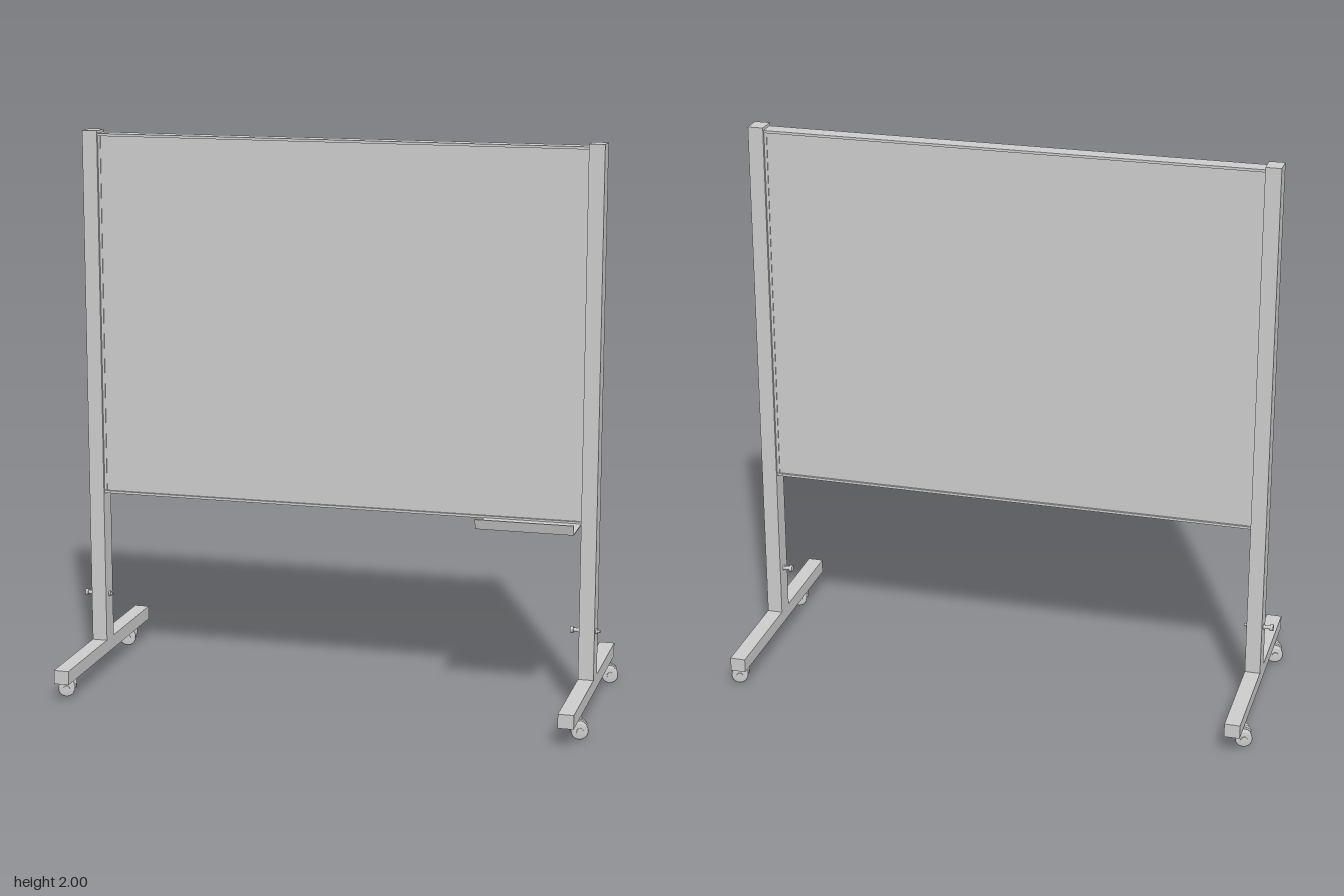
import * as THREE from 'three';

const mat = new THREE.MeshStandardMaterial({ color: 0xcccccc });
const sheetMat = new THREE.MeshStandardMaterial({ color: 0xcccccc, side: THREE.DoubleSide });

function add(parent, name, geometry, x = 0, y = 0, z = 0, material = mat) {
  const mesh = new THREE.Mesh(geometry, material);
  mesh.name = name;
  mesh.position.set(x, y, z);
  parent.add(mesh);
  return mesh;
}

// box given by its two opposite corners
function box(parent, name, [x0, y0, z0], [x1, y1, z1]) {
  return add(parent, name, new THREE.BoxGeometry(x1 - x0, y1 - y0, z1 - z0),
    (x0 + x1) / 2, (y0 + y1) / 2, (z0 + z1) / 2);
}

// twin-wheel swivel caster, axle along z, swivel stem at the origin, offset towards +x
function makeCaster() {
  const caster = new THREE.Group();
  caster.name = 'caster';
  const ax = 0.022, ay = 0.03;
  for (const s of [-1, 1]) {
    const profile = [[0, -0.014], [0.026, -0.014], [0.03, -0.01], [0.03, 0.01], [0.026, 0.014], [0, 0.014]]
      .map(([r, h]) => new THREE.Vector2(r, h));
    const wheel = add(caster, 'wheel', new THREE.LatheGeometry(profile, 20), ax, ay, s * 0.024);
    wheel.rotation.x = Math.PI / 2;
    const cap = add(caster, 'hubCap', new THREE.CylinderGeometry(0.012, 0.012, 0.004, 16), ax, ay, s * 0.039);
    cap.rotation.x = Math.PI / 2;
  }
  const axle = add(caster, 'axle', new THREE.CylinderGeometry(0.006, 0.006, 0.06, 12), ax, ay, 0);
  axle.rotation.x = Math.PI / 2;
  // curved hood over the wheels, joined to the stem
  const hood = new THREE.Shape();
  hood.absarc(ax, ay, 0.034, 0.5, Math.PI * 1.05, false);
  hood.absarc(ax, ay, 0.012, Math.PI * 1.05, 0.5, true);
  add(caster, 'hood', new THREE.ExtrudeGeometry(hood, { depth: 0.018, bevelEnabled: false, curveSegments: 12 }), 0, 0, -0.009);
  add(caster, 'stem', new THREE.CylinderGeometry(0.013, 0.013, 0.035, 16), 0, 0.0545, 0);
  add(caster, 'mountingPlate', new THREE.CylinderGeometry(0.02, 0.02, 0.005, 16), 0, 0.0685, 0);
  return caster;
}

// post, foot and clamping bolt of one side
function makeSide(x) {
  const side = new THREE.Group();
  side.name = 'sideFrame';
  side.position.x = x;
  box(side, 'post', [-0.0275, 0.12, -0.036], [0.0275, 2, 0.036]);
  box(side, 'foot', [-0.0275, 0.07, -0.426], [0.0275, 0.12, 0.426]);
  const bolt = [[0.005, -0.032, 0.042], [0.009, -0.034, -0.0275], [0.012, -0.063, -0.052], [0.010, 0.0275, 0.034]];
  for (const [r, x0, x1] of bolt) {
    const part = add(side, 'clampBolt', new THREE.CylinderGeometry(r, r, x1 - x0, 16), (x0 + x1) / 2, 0.29, 0);
    part.rotation.z = Math.PI / 2;
  }
  const neck = add(side, 'clampKnob', new THREE.CylinderGeometry(0.007, 0.007, 0.022, 16), -0.043, 0.29, 0);
  neck.rotation.z = Math.PI / 2;
  return side;
}

export function createModel() {
  const model = new THREE.Group();
  model.name = 'mobileBoard';
  const left = 0.9125, right = -0.9025;
  model.add(makeSide(right), makeSide(left));

  // writing panel with a thin raised rim
  const x0 = -0.875, x1 = 0.885, y0 = 0.68, y1 = 1.99, rim = 0.009, d = 0.031;
  box(model, 'panel', [x0 + rim, y0 + rim, -0.023], [x1 - rim, y1 - rim, 0.023]);
  box(model, 'topRail', [x0, y1 - rim, -d], [x1, y1, d]);
  box(model, 'bottomRail', [x0, y0, -d], [x1, y0 + rim, d]);
  box(model, 'rightRail', [x0, y0 + rim, -0.026], [x0 + rim, y1 - rim, 0.026]);
  box(model, 'leftRail', [x1 - rim, y0 + rim, -0.026], [x1, y1 - rim, 0.026]);

  // pen tray: bent sheet, profile in (z, y), extruded along x
  const tray = new THREE.Shape([[0.023, 0.678], [0.178, 0.678], [0.189, 0.714], [0.186, 0.715], [0.175, 0.682], [0.023, 0.682]]
    .map(([z, y]) => new THREE.Vector2(-z, y)));
  const trayMesh = add(model, 'penTray',
    new THREE.ExtrudeGeometry(tray, { depth: 0.345, bevelEnabled: false }), 0.54, 0, 0, sheetMat);
  trayMesh.rotation.y = Math.PI / 2;

  // casters, swivelled slightly, trailing outwards
  const casters = [[right, -0.33, Math.PI + 0.3], [right, 0.31, Math.PI + 0.3], [left, -0.345, 0.3], [left, 0.295, 0.3]];
  for (const [x, z, turn] of casters) {
    const caster = makeCaster();
    caster.position.set(x, 0, z);
    caster.rotation.y = turn;
    model.add(caster);
  }
  return model;
}
